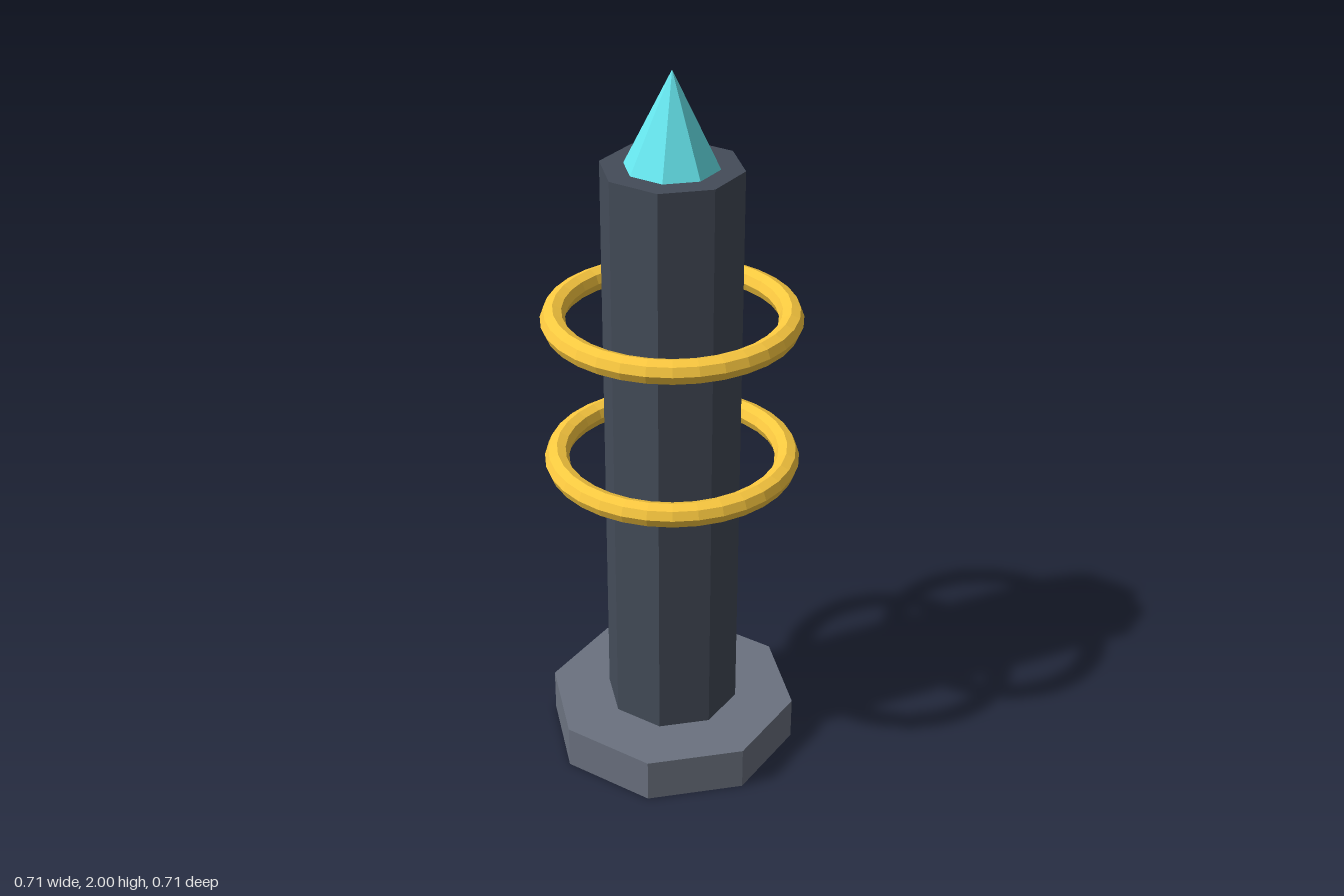
import * as THREE from 'three';

const SIDES = 8;

function addPart(group, name, geometry, color, y) {
  const material = new THREE.MeshStandardMaterial({ color, flatShading: true });
  const mesh = new THREE.Mesh(geometry, material);
  mesh.name = name;
  mesh.position.y = y;
  group.add(mesh);
  return mesh;
}

export function createModel() {
  const group = new THREE.Group();
  group.name = 'crystalPillar';

  // Octagonal foot and shaft (the shaft is sunk slightly into the foot)
  addPart(group, 'base', new THREE.CylinderGeometry(0.354, 0.354, 0.125, SIDES), 0x6b7280, 0.0625);
  addPart(group, 'column', new THREE.CylinderGeometry(0.1875, 0.1875, 1.65, SIDES), 0x444c59, 0.925);

  // Pointed crystal on top
  addPart(group, 'crystalTip', new THREE.ConeGeometry(0.125, 0.25, SIDES), 0x67e8f0, 1.875);

  // Two floating rings around the shaft
  const ringGeometry = new THREE.TorusGeometry(0.3125, 0.0333, 8, 32).rotateX(Math.PI / 2);
  addPart(group, 'lowerRing', ringGeometry, 0xfbc940, 0.917);
  addPart(group, 'upperRing', ringGeometry, 0xfbc940, 1.333);

  return group;
}
